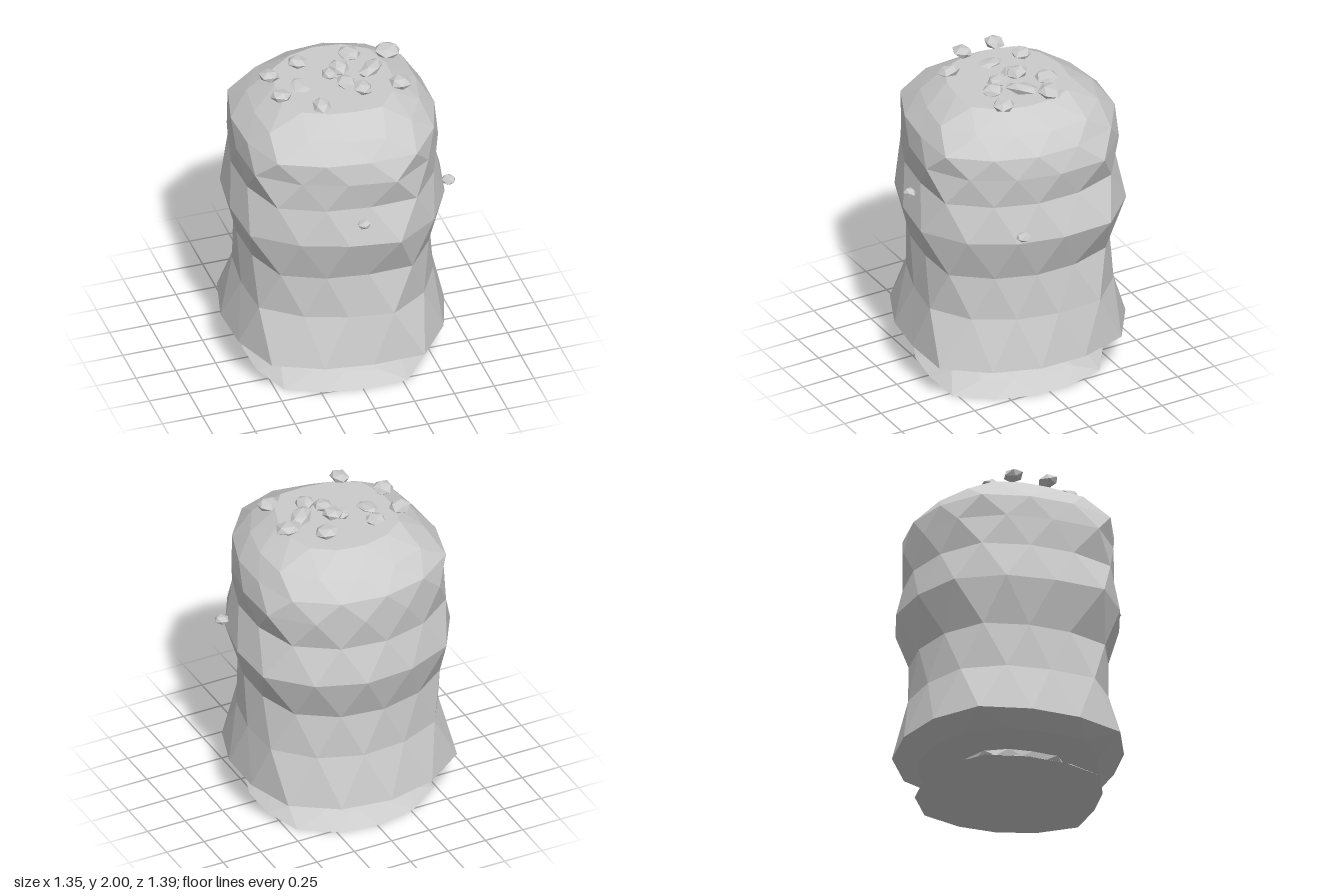
import * as THREE from 'three';

const SIDES = 14;
const STEP = (Math.PI * 2) / SIDES;
const START = THREE.MathUtils.degToRad(62);

// Uneven radii of the even rings and of the odd rings (turned half a step)
const EVEN = [.74, .66, .67, .735, .69, .69, .74, .71, .70, .715, .73, .67, .655, .68];
const ODD = [.715, .65, .67, .735, .67, .69, .72, .69, .70, .72, .74, .665, .655, .69];

const material = new THREE.MeshStandardMaterial({ color: 0xcccccc, flatShading: true });

// Stack of staggered rings [y, scale], joined by triangles and capped at both ends
function staggeredStack(name, rings) {
  const points = rings.map(([y, scale], r) => {
    const radii = r % 2 ? ODD : EVEN;
    return radii.map((radius, k) => {
      const a = START + (k + (r % 2) / 2) * STEP;
      return new THREE.Vector3(Math.cos(a) * radius * scale, y, Math.sin(a) * radius * scale);
    });
  });
  const out = [];
  const tri = (...corners) => corners.forEach((p) => out.push(p.x, p.y, p.z));
  const last = rings.length - 1;
  const bottom = new THREE.Vector3(0, rings[0][0], 0);
  const top = new THREE.Vector3(0, rings[last][0], 0);
  for (let k = 0; k < SIDES; k++) {
    const n = (k + 1) % SIDES;
    for (let r = 0; r < last; r++) {
      const low = points[r], high = points[r + 1];
      if (r % 2 === 0) {
        tri(low[k], high[k], low[n]);
        tri(low[n], high[k], high[n]);
      } else {
        tri(low[k], high[k], high[n]);
        tri(low[k], high[n], low[n]);
      }
    }
    tri(bottom, points[0][k], points[0][n]);
    tri(top, points[last][n], points[last][k]);
  }
  const geometry = new THREE.BufferGeometry();
  geometry.setAttribute('position', new THREE.Float32BufferAttribute(out, 3));
  geometry.computeVertexNormals();
  const mesh = new THREE.Mesh(geometry, material);
  mesh.name = name;
  return mesh;
}

// Squashed faceted stone: position, half sizes and turn about y
function pebble(name, [x, y, z, sx, sy, sz, turn = 0]) {
  const geometry = new THREE.IcosahedronGeometry(1, 0);
  geometry.rotateX(0.55);
  geometry.rotateY(x * 9 + z * 5);
  geometry.scale(sx, sy, sz);
  geometry.rotateY(turn);
  geometry.computeVertexNormals();
  const mesh = new THREE.Mesh(geometry, material);
  mesh.name = name;
  mesh.position.set(x, y, z);
  mesh.rotation.set(0.12 * Math.sin(x * 20), 0, 0.12 * Math.cos(z * 20));
  return mesh;
}

export function createModel() {
  const model = new THREE.Group();
  model.name = 'boulderPillar';

  // Flared foot
  model.add(staggeredStack('base', [[0, .81], [.06, .64], [.105, .48], [.15, .5]]));

  // Bulging body with a flat top
  model.add(staggeredStack('body', [
    [.145, .51], [.185, .8], [.255, 1], [.57, .895], [.85, .86], [1.13, 1],
    [1.36, .91], [1.545, .94], [1.68, .91], [1.79, .77], [1.89, .53],
  ].map(([y, s]) => [y, s])));

  // Loose stones scattered over the top
  const stones = new THREE.Group();
  stones.name = 'topStones';
  [
    [-.37, 1.92, -.13, .068, .036, .064],
    [-.37, 1.92, .09, .068, .036, .064],
    [-.18, 1.94, .29, .058, .034, .075],
    [-.17, 1.93, -.20, .064, .03, .064],
    [-.22, 1.885, 0, .068, .02, .1],
    [-.02, 1.92, -.04, .055, .03, .06],
    [.04, 1.945, -.05, .064, .036, .072],
    [.04, 1.925, .08, .06, .03, .07],
    [.12, 1.92, .16, .06, .034, .07],
    [.15, 1.93, -.19, .074, .034, .074],
    [.22, 1.94, .01, .115, .035, .062, .75],
    [.36, 1.965, -.10, .084, .035, .078],
    [.34, 1.945, .21, .07, .036, .07],
  ].forEach((s) => stones.add(pebble('topStone', s)));
  model.add(stones);

  // Small stones stuck to the front and the left side
  model.add(pebble('frontStone', [-.03, 1.28, .645, .045, .03, .04]));
  model.add(pebble('sideStone', [.632, 1.19, .24, .045, .028, .048]));

  return model;
}
